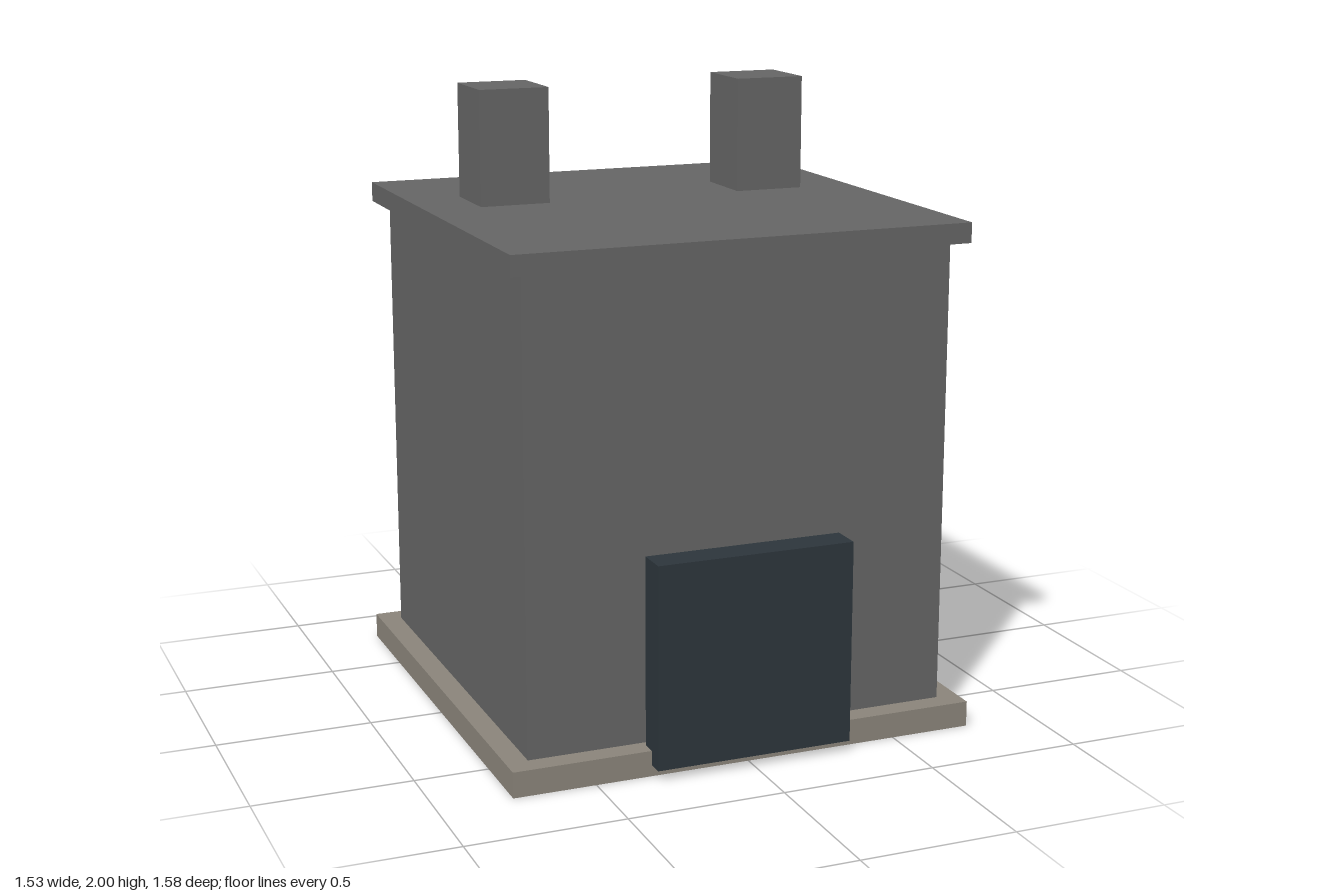
import * as THREE from 'three';

const wallGrey = new THREE.MeshStandardMaterial({ name: 'wallGrey', color: 0x656565 });
const stone = new THREE.MeshStandardMaterial({ name: 'stone', color: 0x8a847a });
const darkSlate = new THREE.MeshStandardMaterial({ name: 'darkSlate', color: 0x2c353b });

// Box given by width, depth, bottom and top heights, and centre
function block(name, material, width, depth, bottom, top, x, z) {
  const mesh = new THREE.Mesh(new THREE.BoxGeometry(width, top - bottom, depth), material);
  mesh.name = name;
  mesh.position.set(x, (bottom + top) / 2, z);
  return mesh;
}

export function createModel() {
  const model = new THREE.Group();
  model.name = 'house';
  const middle = -0.026; // the house sits slightly back, behind its door

  // Plinth, walls and flat roof slab
  model.add(
    block('plinth', stone, 1.528, 1.528, 0, 0.082, 0, middle),
    block('walls', wallGrey, 1.386, 1.386, 0.082, 1.566, 0, middle),
    block('roof', wallGrey, 1.48, 1.48, 1.566, 1.63, 0, middle),
  );

  // Door slab standing just clear of the front wall
  model.add(block('door', darkSlate, 0.642, 0.102, 0.036, 0.684, 0, 0.739));

  // Pair of chimneys
  for (const [name, side] of [['leftChimney', 1], ['rightChimney', -1]]) {
    model.add(block(name, wallGrey, 0.23, 0.23, 1.63, 2, side * 0.443, -0.236));
  }
  return model;
}
